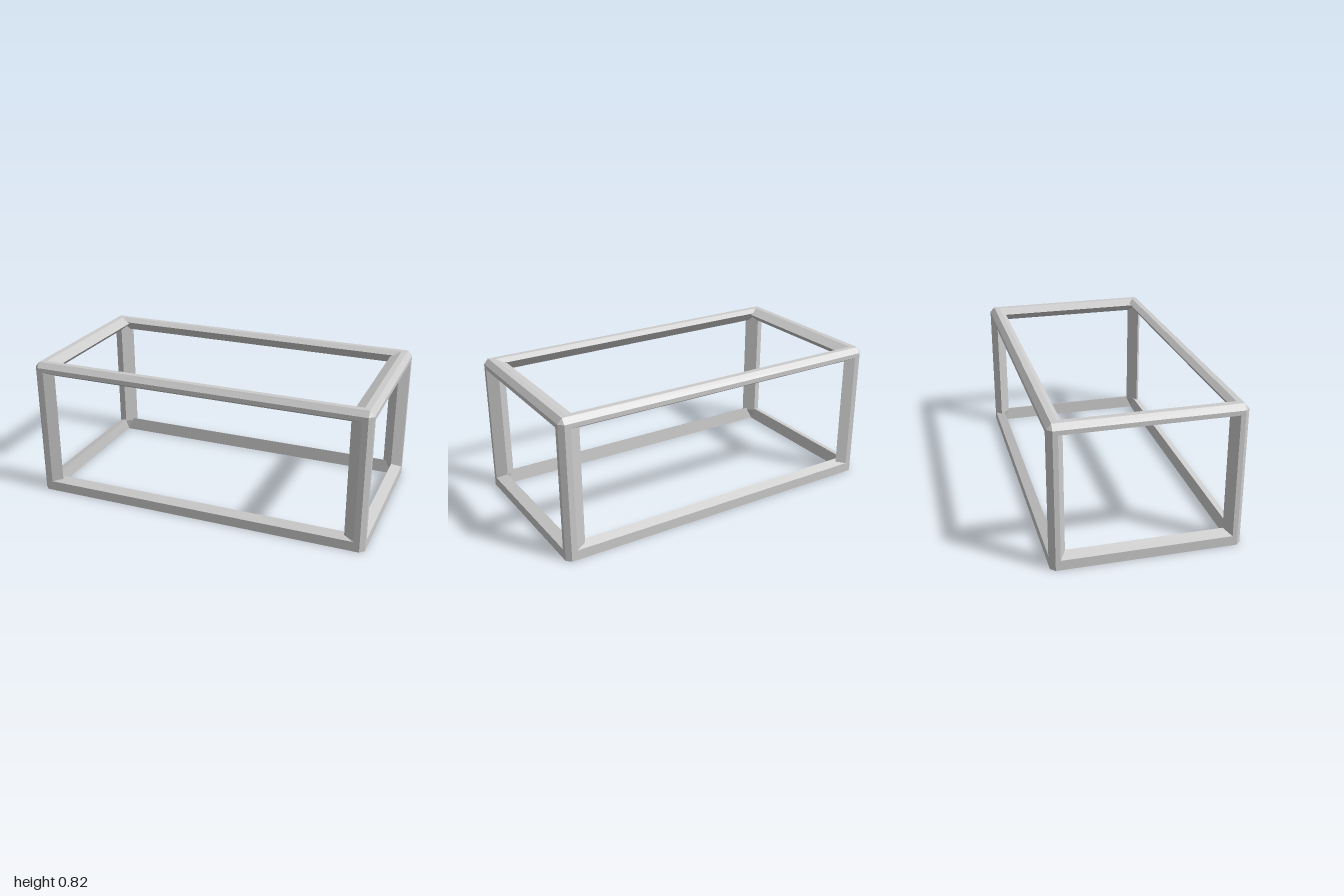
import * as THREE from 'three';
import { ConvexGeometry } from 'three/addons/geometries/ConvexGeometry.js';

// Outer half width, height and half depth of the frame
const W = 1, H = 0.82, D = 0.523;
const C = 0.026, CY = 0.03; // corner chamfers

// Bar cross-sections as insets from the two outer planes they touch
const POST = [[0, C], [0, 0.053], [0.06, 0.088], [0.12, 0.03], [0.06, 0], [C, 0]];          // x, z
const TOP_LONG = [[0, CY], [0, 0.055], [0.044, 0.08], [0.088, 0.022], [0.058, 0], [C, 0]];  // z, y
const TOP_END = [[0, CY], [0, 0.055], [0.06, 0.08], [0.12, 0.03], [0.06, 0], [C, 0]];       // x, y

// Lower rails have a square outer edge and an upright inner face
const BOTTOM_LONG = [[0, 0], [0, 0.058], [0.05, 0.082], [0.057, 0]];                        // z, y
const BOTTOM_END = [[0, 0], [0, 0.057], [0.06, 0.08], [0.063, 0]];                          // x, y

export function createModel() {
  const group = new THREE.Group();
  const material = new THREE.MeshStandardMaterial({ color: 0xcccccc, flatShading: true });

  // Turns insets from an outer corner into a position
  const at = (sx, sy, sz, x, y, z) =>
    new THREE.Vector3(sx * (W - x), sy > 0 ? H - y : y, sz * (D - z));

  const add = (name, points) => {
    const mesh = new THREE.Mesh(new ConvexGeometry(points), material);
    mesh.name = name;
    group.add(mesh);
  };

  const signs = [-1, 1];

  // Upright posts, tapering into the lower rails at the foot
  for (const sx of signs) for (const sz of signs) {
    add('cornerPost', POST.flatMap(([x, z]) => [
      at(sx, -1, sz, Math.min(x, 0.063), 0, Math.min(z, 0.057)),
      at(sx, -1, sz, x, 0.07, z),
      at(sx, 1, sz, x, CY, z),
    ]));
  }

  for (const sy of signs) {
    const level = sy > 0 ? 'top' : 'bottom';

    // Long rails, front and back
    for (const sz of signs) {
      add(level + 'LongRail', (sy > 0 ? TOP_LONG : BOTTOM_LONG).flatMap(([z, y]) =>
        signs.map((sx) => at(sx, sy, sz, C, y, z))));
    }

    // Short rails at both ends
    for (const sx of signs) {
      add(level + 'EndRail', (sy > 0 ? TOP_END : BOTTOM_END).flatMap(([x, y]) =>
        signs.map((sz) => at(sx, sy, sz, x, y, C))));
    }

    // Chamfered corner joints
    const edge = sy > 0 ? CY : 0;
    for (const sx of signs) for (const sz of signs) {
      const points = [at(sx, sy, sz, 0.06, 0.055, 0.053)];
      for (const a of [C, 0.053]) {
        for (const y of [edge, 0.055]) {
          points.push(at(sx, sy, sz, 0, y, a), at(sx, sy, sz, a, y, 0));
        }
        for (const b of [C, 0.053]) points.push(at(sx, sy, sz, a, 0, b));
      }
      add(level + 'CornerJoint', points);
    }
  }
  return group;
}
